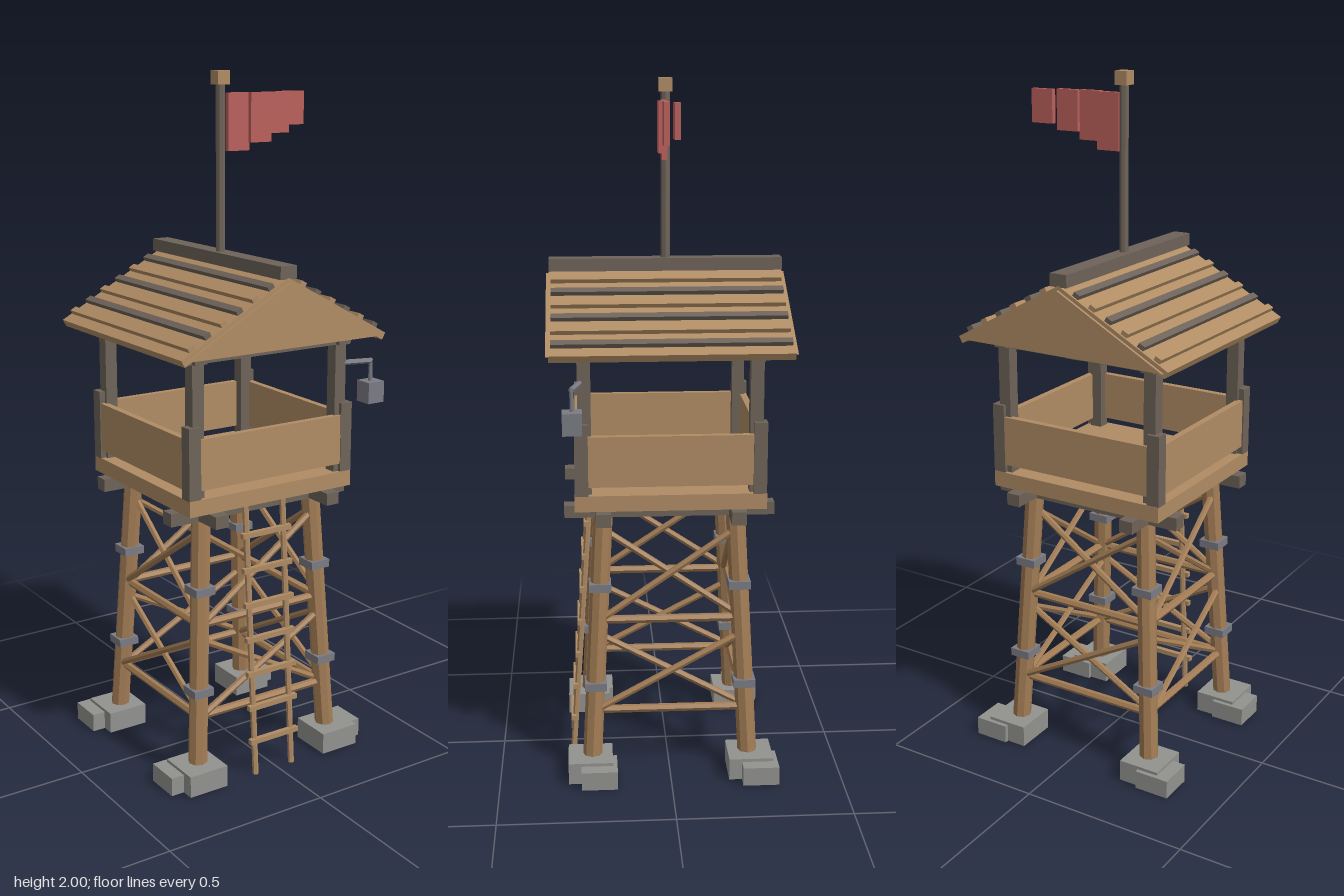
import * as THREE from 'three';

const mat = (name, color) => {
  const m = new THREE.MeshStandardMaterial({ color });
  m.name = name;
  m.flatShading = true;
  return m;
};

export function createModel() {
  const wood = mat('light wood', 0xb08c64);
  const log = mat('log wood', 0xa37d55);
  const dark = mat('dark wood', 0x6e6359);
  const stone = mat('stone', 0x92928f);
  const metal = mat('iron', 0x7b7b84);
  const red = mat('flag red', 0xbb605c);

  const root = new THREE.Group();
  root.name = 'watchtower';
  const tower = new THREE.Group();
  tower.name = 'tower';
  tower.position.x = -0.012;
  root.add(tower);

  const add = (name, geo, material, x = 0, y = 0, z = 0, parent = tower) => {
    const m = new THREE.Mesh(geo, material);
    m.name = name;
    m.position.set(x, y, z);
    parent.add(m);
    return m;
  };
  const box = (name, material, w, h, d, x, y, z, parent) =>
    add(name, new THREE.BoxGeometry(w, h, d), material, x, y, z, parent);
  // Round bar between two points
  const bar = (name, material, a, b, r, sides = 6, parent = tower) => {
    const p = new THREE.Vector3(...a), q = new THREE.Vector3(...b);
    const m = add(name, new THREE.CylinderGeometry(r, r, p.distanceTo(q), sides), material, 0, 0, 0, parent);
    m.position.copy(p).add(q).multiplyScalar(0.5);
    m.quaternion.setFromUnitVectors(new THREE.Vector3(0, 1, 0), q.sub(p).normalize());
    return m;
  };
  const corners = [[-1, -1], [-1, 1], [1, -1], [1, 1]];
  // Distance of the leg axis from the centre at a height
  const spread = y => 0.232 - 0.044 * y / 0.83;

  // Legs, footings and iron bands
  for (const [sx, sz] of corners) {
    bar('leg', log, [sx * spread(0.02), 0.02, sz * spread(0.02)], [sx * spread(0.83), 0.83, sz * spread(0.83)], 0.028, 8);
    box('footing', stone, 0.125, 0.064, 0.13, sx * 0.235, 0.032, sz * 0.235);
    box('footingBlock', stone, 0.105, 0.055, 0.105, sx * 0.285, 0.0275, sz * 0.235 - 0.025);
    for (const y of [0.28, 0.58])
      box('legBand', metal, 0.064, 0.024, 0.064, sx * spread(y), y, sz * spread(y));
  }

  // Rails and crossed braces on each of the four sides
  for (let side = 0; side < 4; side++) {
    const face = new THREE.Group();
    face.name = 'sideBracing';
    face.rotation.y = side * Math.PI / 2;
    tower.add(face);
    const at = (s, y, out = 0) => [s * spread(y), y, spread(y) + out];
    for (const y of [0.2, 0.475]) bar('rail', log, at(-1, y), at(1, y), 0.012, 6, face);
    for (const [y0, y1] of [[0.2, 0.43], [0.475, 0.745]])
      for (const s of [-1, 1])
        bar('crossBrace', log, at(-s, y0, s * 0.009), at(s, y1, s * 0.009), 0.01, 6, face);
  }

  // Ladder leaning on the front
  const ladderZ = y => 0.285 - 0.06 * y / 0.83;
  for (const s of [-1, 1])
    bar('ladderRail', wood, [s * 0.064, 0, ladderZ(0)], [s * 0.064, 0.83, ladderZ(0.83)], 0.009);
  for (let i = 0; i < 7; i++) {
    const y = 0.105 + i * 0.1035;
    box('ladderRung', wood, 0.168, 0.015, 0.015, 0, y, ladderZ(y) + 0.006);
  }

  // Floor beams, floor and hatch
  for (const s of [-1, 1]) {
    box('floorBeam', dark, 0.6, 0.038, 0.042, 0, 0.805, s * 0.19);
    box('floorCrossBeam', dark, 0.042, 0.036, 0.6, s * 0.19, 0.806, 0);
  }
  box('floor', wood, 0.55, 0.046, 0.54, 0, 0.848, 0);
  for (let i = 0; i < 4; i++)
    box('hatchPlank', dark, 0.22, 0.014, 0.044, 0, 0.878, -0.092 + i * 0.05);
  box('hatchHandle', metal, 0.075, 0.01, 0.1, 0, 0.89, -0.018);

  // Parapet, corner posts and roof posts
  for (const s of [-1, 1]) {
    box('parapetPanel', wood, 0.5, 0.145, 0.02, 0, 0.9675, s * 0.257);
    box('parapetSidePanel', wood, 0.02, 0.145, 0.5, s * 0.262, 0.9675, 0);
    box('topBeam', dark, 0.55, 0.034, 0.038, 0, 1.264, s * 0.24);
    box('topCrossBeam', dark, 0.038, 0.032, 0.55, s * 0.24, 1.264, 0);
  }
  for (const [sx, sz] of corners) {
    box('cornerPost', dark, 0.038, 0.205, 0.038, sx * 0.257, 0.9725, sz * 0.25);
    box('roofPost', dark, 0.037, 0.38, 0.037, sx * 0.24, 1.06, sz * 0.24);
  }

  // Gable boards
  const tri = new THREE.Shape([
    new THREE.Vector2(-0.325, 1.277), new THREE.Vector2(0.325, 1.277), new THREE.Vector2(0, 1.456)]);
  for (const z of [-0.342, 0.324])
    add('gable', new THREE.ExtrudeGeometry(tri, { depth: 0.018, bevelEnabled: false }), wood, 0, 0, z);

  // Roof slopes with battens in alternating wood
  const pitch = Math.atan(0.55), slope = 0.338 / Math.cos(pitch);
  for (const s of [-1, 1]) {
    const half = new THREE.Group();
    half.name = 'roofSlope';
    half.position.y = 1.468;
    half.rotation.z = -s * pitch;
    tower.add(half);
    box('roofBoard', wood, slope, 0.022, 0.668, s * slope / 2, -0.011, 0, half);
    for (let i = 1; i <= 6; i++) {
      const isDark = (i % 2 === 1) === (s < 0);
      box('roofBatten', isDark ? dark : wood, 0.02, 0.014, 0.656, s * i * 0.05 / Math.cos(pitch), 0.006, 0, half);
    }
  }
  box('ridgeCap', dark, 0.053, 0.036, 0.667, 0, 1.482, 0);

  // Flagpole and stepped flag
  bar('flagpole', dark, [0, 1.49, 0], [0, 1.97, 0], 0.013, 8);
  box('poleCap', wood, 0.038, 0.038, 0.038, 0, 1.981, 0);
  [[0.053, 0.007, 1.78], [0.12, 0.02, 1.802], [0.189, 0.009, 1.825], [0.258, -0.015, 1.845]]
    .forEach(([x, z, low]) => box('flagStrip', red, 0.07, 1.94 - low, 0.016, x, (1.94 + low) / 2, z));

  // Lantern on a bracket at the front left corner
  const lantern = new THREE.Group();
  lantern.name = 'lantern';
  tower.add(lantern);
  bar('lanternArm', metal, [0.25, 1.19, 0.25], [0.34, 1.19, 0.274], 0.008, 6, lantern);
  bar('lanternHanger', metal, [0.338, 1.195, 0.273], [0.338, 1.125, 0.273], 0.006, 6, lantern);
  box('lanternBody', metal, 0.056, 0.062, 0.054, 0.34, 1.1, 0.273, lantern);

  return root;
}
